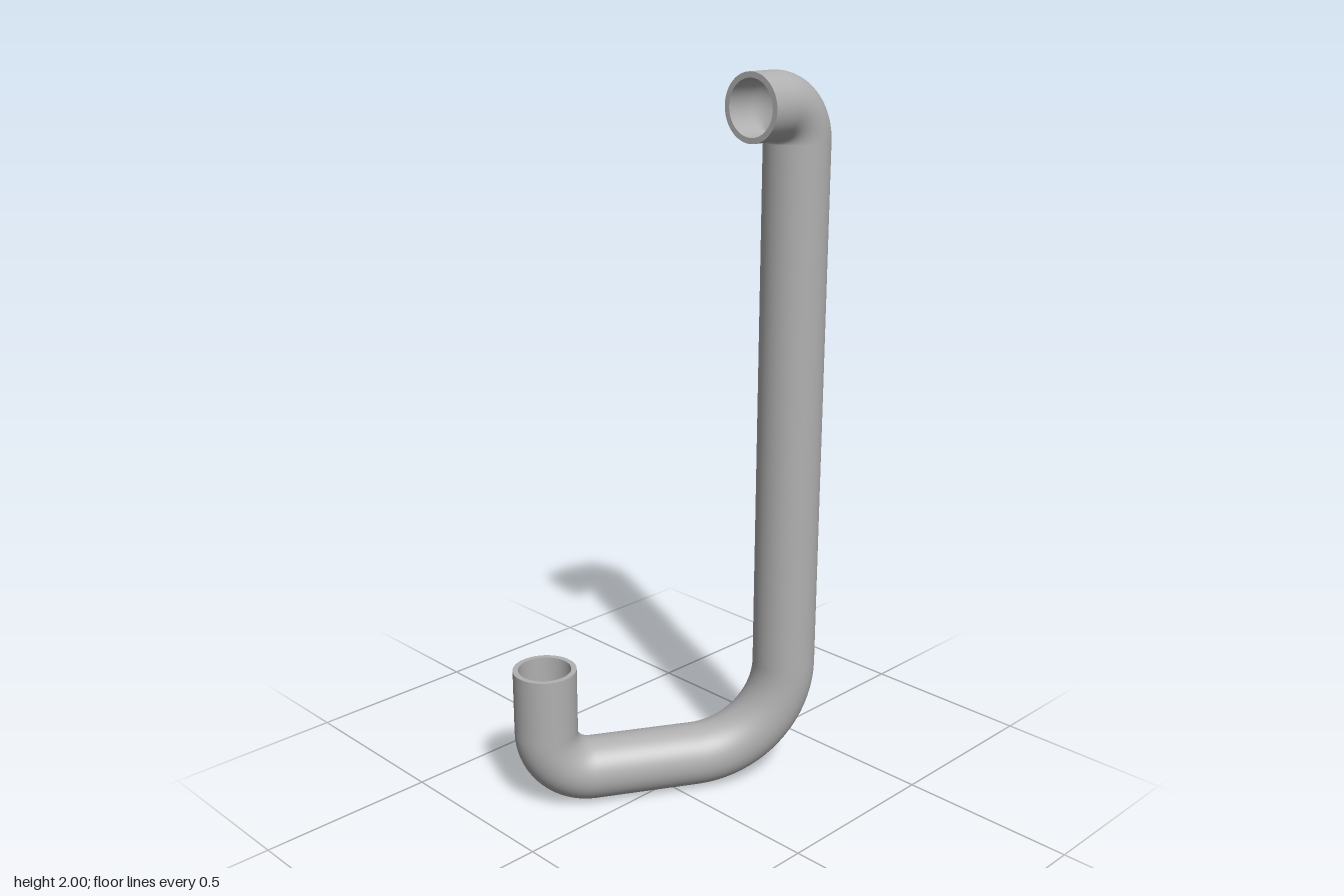
import * as THREE from 'three';

const OUTER = 0.088, INNER = 0.073, SIDES = 64, BEND_STEPS = 20;

// Corners of the centre line, with the bend radius at each
const route = [
  { p: [-0.171, 0.408, 0.301], r: 0 },
  { p: [-0.171, OUTER, 0.301], r: 0.13 },
  { p: [0.171, OUTER, -0.301], r: 0.265 },
  { p: [0.171, 2 - OUTER, -0.301], r: 0.097 },
  { p: [0.171, 2 - OUTER, -0.123], r: 0 },
].map(({ p, r }) => ({ p: new THREE.Vector3(...p), r }));

// Stations along the pipe: centre and orientation, turned without twist through each bend
function makeStations() {
  const dirs = route.slice(1).map((c, i) => c.p.clone().sub(route[i].p).normalize());
  const q = new THREE.Quaternion().setFromUnitVectors(new THREE.Vector3(0, 0, 1), dirs[0]);
  const stations = [{ p: route[0].p, q: q.clone() }];
  for (let i = 1; i < route.length - 1; i++) {
    const { p, r } = route[i], a = dirs[i - 1], b = dirs[i];
    const start = p.clone().addScaledVector(a, -r); // every bend is a right angle
    const base = q.clone();
    const axis = a.clone().cross(b).normalize();
    for (let k = 0; k <= BEND_STEPS; k++) {
      const t = (k / BEND_STEPS) * Math.PI / 2;
      const c = start.clone().addScaledVector(a, r * Math.sin(t)).addScaledVector(b, r * (1 - Math.cos(t)));
      q.setFromAxisAngle(axis, t).multiply(base);
      stations.push({ p: c, q: q.clone() });
    }
  }
  stations.push({ p: route[route.length - 1].p, q: q.clone() });
  return stations;
}

// Round wall swept along the stations; side is 1 facing outward, -1 facing inward
function wall(stations, radius, side) {
  const pos = [], nor = [], idx = [], row = SIDES + 1;
  stations.forEach(({ p, q }, i) => {
    for (let j = 0; j <= SIDES; j++) {
      const t = (j / SIDES) * Math.PI * 2;
      const n = new THREE.Vector3(Math.cos(t), Math.sin(t), 0).applyQuaternion(q);
      pos.push(...p.clone().addScaledVector(n, radius).toArray());
      nor.push(...n.multiplyScalar(side).toArray());
      if (i === stations.length - 1 || j === SIDES) continue;
      const a = i * row + j, b = a + 1, c = a + row, d = c + 1;
      idx.push(...(side > 0 ? [a, b, c, b, d, c] : [a, c, b, b, c, d]));
    }
  });
  const g = new THREE.BufferGeometry();
  g.setAttribute('position', new THREE.Float32BufferAttribute(pos, 3));
  g.setAttribute('normal', new THREE.Float32BufferAttribute(nor, 3));
  g.setIndex(idx);
  return g;
}

export function createModel() {
  const group = new THREE.Group();
  group.name = 'bentPipe';
  const metal = new THREE.MeshStandardMaterial({ color: 0xb0b0b0 });
  metal.name = 'grey metal';
  const add = (name, geometry) => {
    const mesh = new THREE.Mesh(geometry, metal);
    mesh.name = name;
    group.add(mesh);
    return mesh;
  };

  const stations = makeStations();
  add('outerWall', wall(stations, OUTER, 1));
  add('innerWall', wall(stations, INNER, -1));

  // Flat rims closing the wall thickness at both open ends
  const rim = (name, station, flip) => {
    const geometry = new THREE.RingGeometry(INNER, OUTER, SIDES);
    if (flip) geometry.rotateX(Math.PI);
    const mesh = add(name, geometry);
    mesh.position.copy(station.p);
    mesh.quaternion.copy(station.q);
  };
  rim('lowerRim', stations[0], true);
  rim('upperRim', stations[stations.length - 1], false);
  return group;
}
